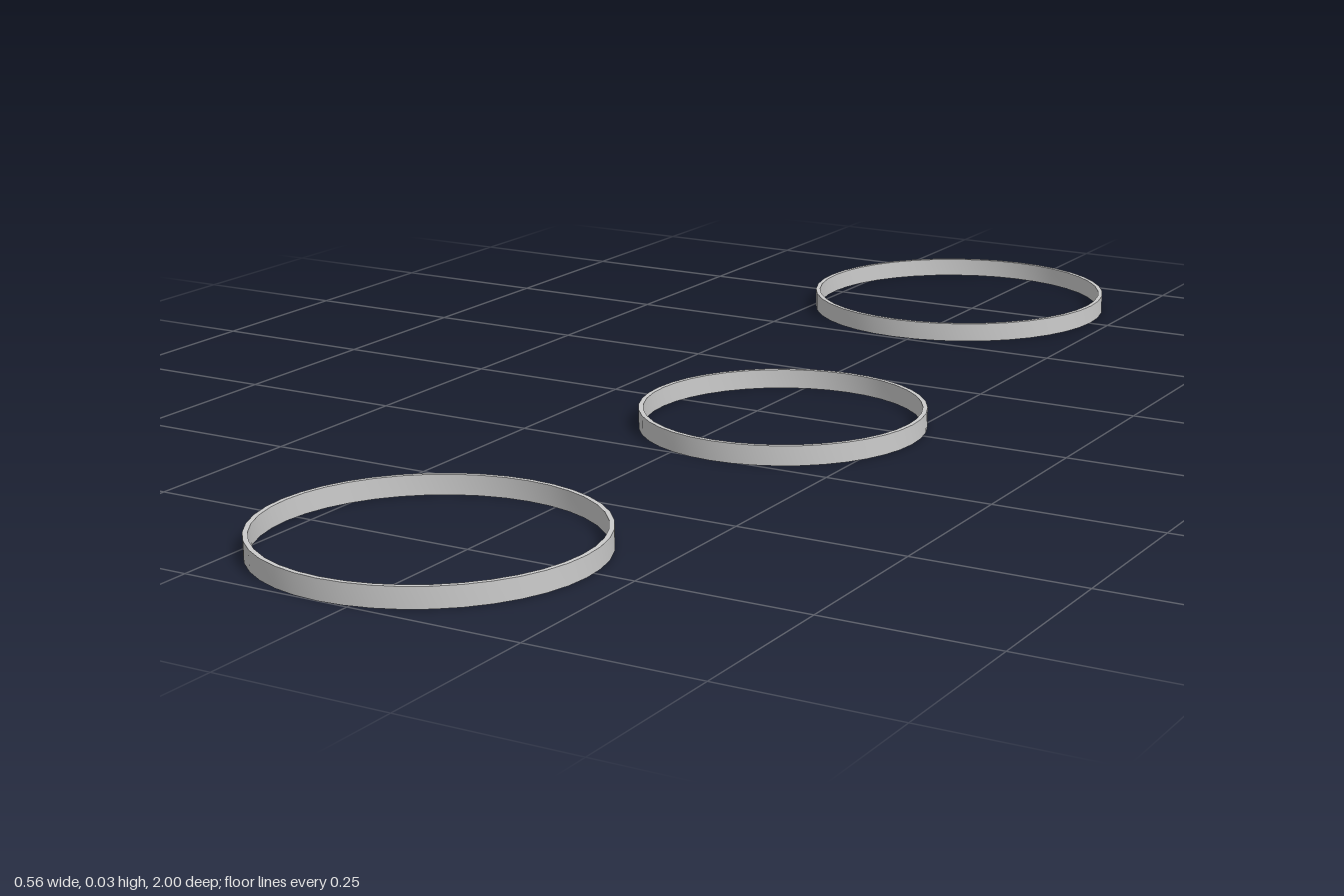
import * as THREE from 'three';
import { toCreasedNormals } from 'three/addons/utils/BufferGeometryUtils.js';

const HEIGHT = 0.029;
const WALL = 0.007;
const SEGMENTS = 40;

// Thin flat band with a rectangular cross-section, standing on y = 0
function bandGeometry(rx, rz) {
  const r = rx, inner = rx - WALL;
  const profile = [[r, 0], [r, HEIGHT], [inner, HEIGHT], [inner, 0], [r, 0]]
    .map(([x, y]) => new THREE.Vector2(x, y));
  const geometry = new THREE.LatheGeometry(profile, SEGMENTS);
  geometry.scale(1, 1, rz / rx);
  return toCreasedNormals(geometry, 0.6);
}

export function createModel() {
  const group = new THREE.Group();
  group.name = 'rings';
  const material = new THREE.MeshStandardMaterial({ color: 0xcccccc });

  // Three separate rings in a staggered row, front to back
  const rings = [
    { name: 'frontRing', x: -0.045, z: 0.768, rx: 0.237, rz: 0.232 },
    { name: 'middleRing', x: 0.069, z: 0.046, rx: 0.212, rz: 0.212 },
    { name: 'backRing', x: -0.027, z: -0.753, rx: 0.245, rz: 0.247 },
  ];
  for (const { name, x, z, rx, rz } of rings) {
    const ring = new THREE.Mesh(bandGeometry(rx, rz), material);
    ring.name = name;
    ring.position.set(x, 0, z);
    group.add(ring);
  }
  return group;
}
